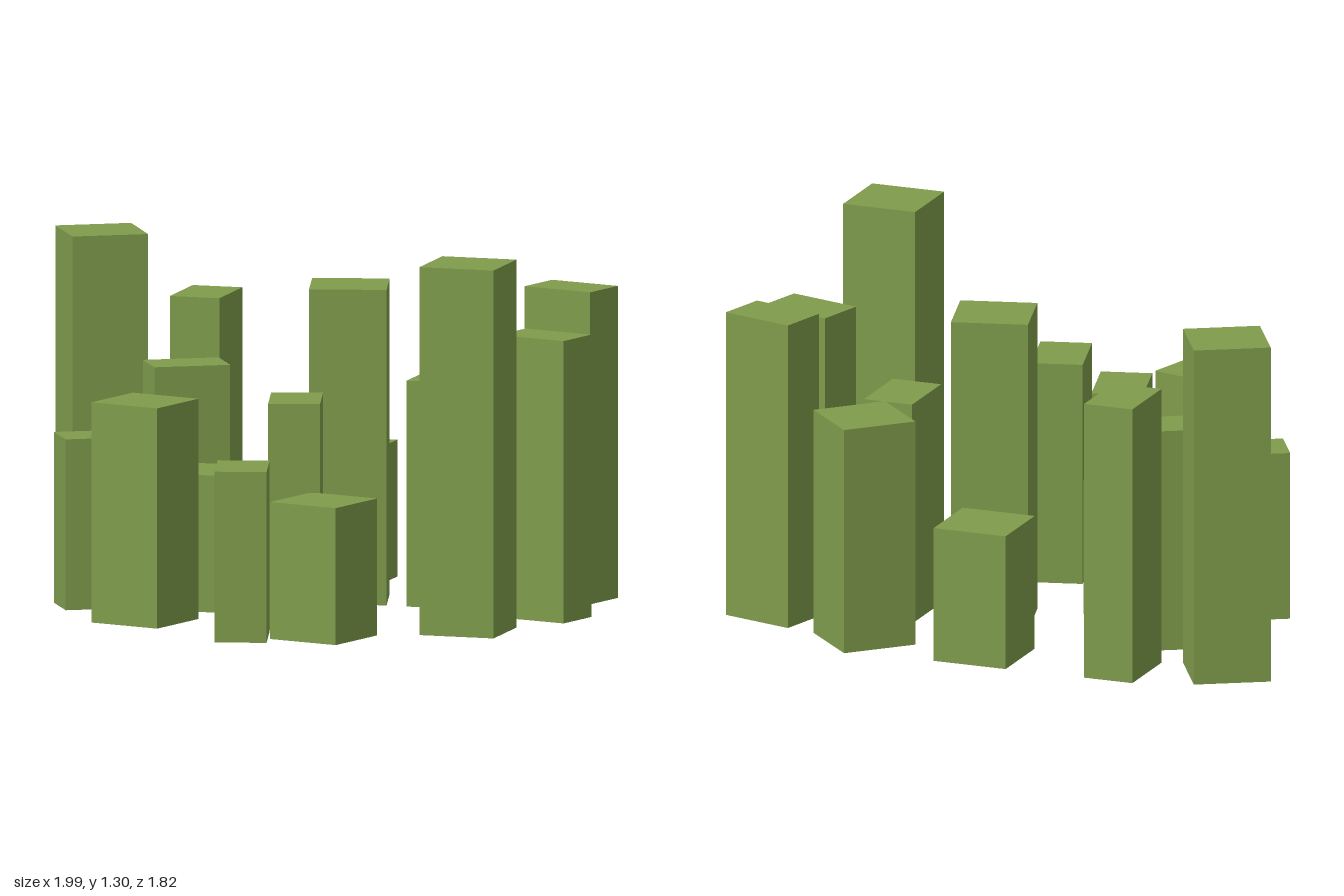
import * as THREE from 'three';

// Footprint sides: long edge and short edge
const L = 0.272, S = 0.182;

// Each pillar: [x, z, width, depth, height, turn in degrees]
const PILLARS = [
  // back row
  [-0.83, -0.74, L, L, 1.22, 15],
  [-0.465, -0.76, S, L, 1.0, -15],
  [-0.52, -0.42, L, S, 0.8, 15],
  [0.04, -0.63, L, L, 0.485, -15],
  [0.48, -0.485, L, L, 0.815, 30],
  [0.835, -0.24, L, S, 1.105, -30],
  // middle
  [0.06, -0.18, L, L, 1.117, 0],
  [0.39, -0.125, S, L, 0.8, -15],
  [-0.815, -0.005, L, S, 0.605, 15],
  [-0.41, 0.01, L, L, 0.485, -15],
  // front row
  [-0.635, 0.355, L, L, 0.78, -30],
  [-0.105, 0.415, S, L, 0.8, 0],
  [-0.28, 0.725, S, L, 0.605, 0],
  [0.005, 0.72, L, L, 0.485, -30],
  [0.505, 0.56, L, L, 1.303, -15],
  [0.76, 0.215, L, S, 1.0, -30],
];

export function createModel() {
  const group = new THREE.Group();
  group.name = 'pillarCluster';

  const green = new THREE.MeshStandardMaterial({ color: 0x7f9c4c });
  green.name = 'mossGreen';

  // Square-edged pillars standing on the ground
  PILLARS.forEach(([x, z, width, depth, height, turn], i) => {
    const pillar = new THREE.Mesh(new THREE.BoxGeometry(width, height, depth), green);
    pillar.name = `pillar${i + 1}`;
    pillar.position.set(x, height / 2, z);
    pillar.rotation.y = THREE.MathUtils.degToRad(turn);
    group.add(pillar);
  });

  return group;
}
